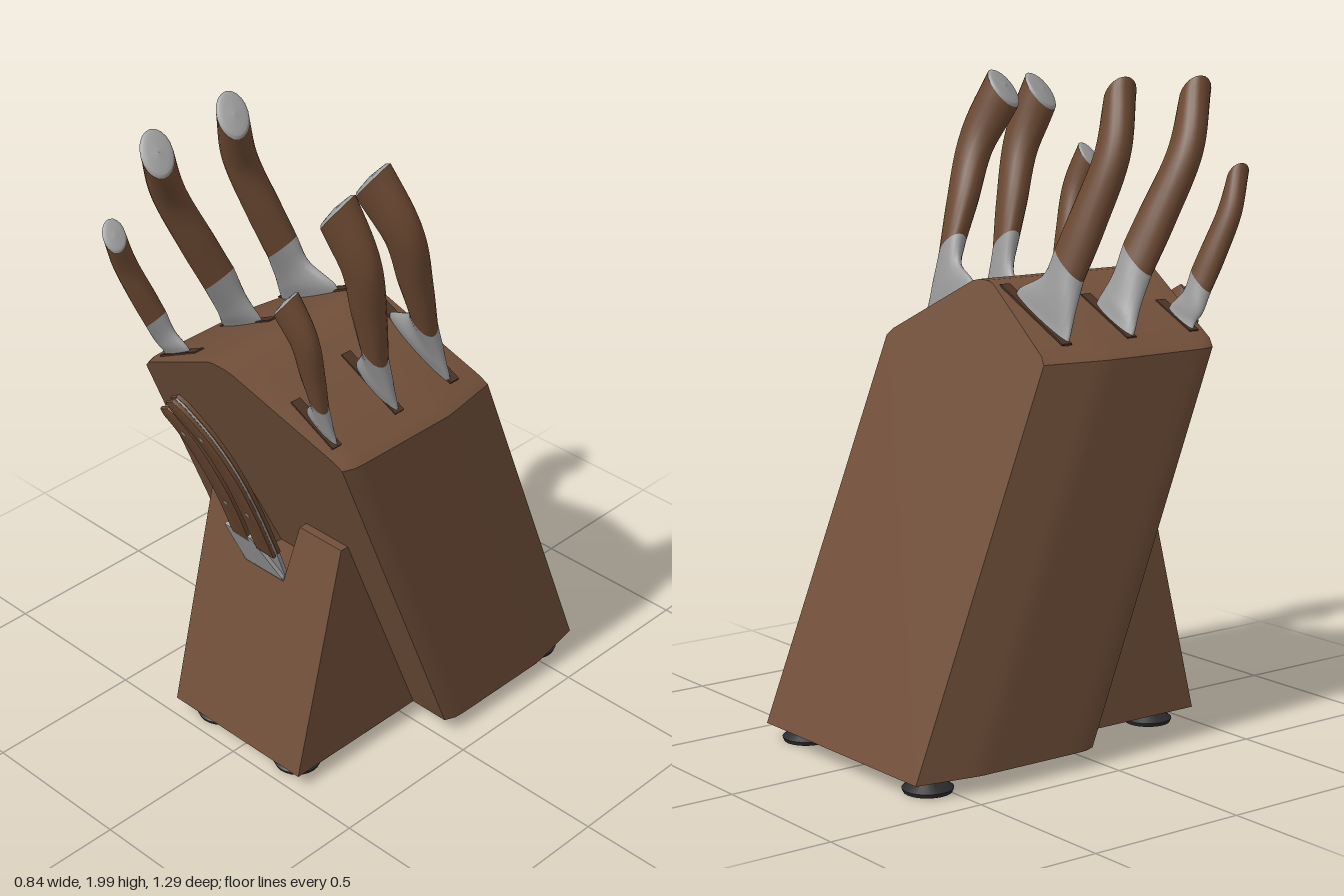
import * as THREE from 'three';
import { toCreasedNormals } from 'three/addons/utils/BufferGeometryUtils.js';

const material = (name, color) => {
  const m = new THREE.MeshStandardMaterial({ color });
  m.name = name;
  return m;
};
const lerp = THREE.MathUtils.lerp;
const polygon = (pts) => new THREE.Shape(pts.map(([x, y]) => new THREE.Vector2(x, y)));

function add(parent, name, geometry, mat) {
  const mesh = new THREE.Mesh(geometry, mat);
  mesh.name = name;
  parent.add(mesh);
  return mesh;
}

// Moves every vertex by a rule, then rebuilds the normals
function reshape(geometry, rule, crease) {
  const p = geometry.attributes.position, v = new THREE.Vector3();
  for (let i = 0; i < p.count; i++) {
    rule(v.fromBufferAttribute(p, i));
    p.setXYZ(i, v.x, v.y, v.z);
  }
  geometry.computeVertexNormals();
  return toCreasedNormals(geometry, crease);
}

// Smooth skin over tilted ellipses; each key is [x, y, z, radiusX, radiusZ, tilt]
function loft(keys, side, steps) {
  const centres = new THREE.CatmullRomCurve3(keys.map((k) => new THREE.Vector3(k[0], k[1], k[2])));
  const sizes = new THREE.CatmullRomCurve3(keys.map((k) => new THREE.Vector3(k[3], k[4], k[5])));
  const seg = 20, pos = [], index = [];
  for (let i = 0; i <= steps; i++) {
    const c = centres.getPoint(i / steps), r = sizes.getPoint(i / steps);
    for (let j = 0; j < seg; j++) {
      const a = (j / seg) * Math.PI * 2;
      const dx = r.x * Math.cos(a), dz = r.y * Math.sin(a);
      pos.push(side * c.x + dx, c.y + side * r.z * dx - 0.35 * dz, c.z + dz);
      if (i === steps) continue;
      const p = i * seg + j, q = i * seg + ((j + 1) % seg);
      index.push(p, p + seg, q, q, p + seg, q + seg);
    }
  }
  const g = new THREE.BufferGeometry();
  g.setAttribute('position', new THREE.Float32BufferAttribute(pos, 3));
  g.setIndex(index);
  g.computeVertexNormals();
  return g;
}

// Curved strip of even width with a small bevel
function strip(points, width, depth, bevel) {
  const curve = new THREE.SplineCurve(points.map(([x, y]) => new THREE.Vector2(x, y)));
  const left = [], right = [], n = 14;
  for (let i = 0; i <= n; i++) {
    const p = curve.getPoint(i / n), t = curve.getTangent(i / n);
    const w = (width / 2) * (i === n ? 0.7 : 1) - bevel;
    left.push([p.x - t.y * w, p.y + t.x * w]);
    right.unshift([p.x + t.y * w, p.y - t.x * w]);
  }
  return new THREE.ExtrudeGeometry(polygon([...left, ...right]), {
    depth, bevelEnabled: bevel > 0, bevelThickness: bevel, bevelSize: bevel, bevelSegments: 2,
  });
}

const frontZ = (y) => -0.02 + 0.395 * (y - 0.05);
const roofY = (x) => 1.39 - 0.5 * (x - 0.04);

export function createModel() {
  const model = new THREE.Group();
  model.name = 'knifeBlock';
  const wood = material('wood', 0x72503a);
  const handleWood = material('handleWood', 0x6c4932);
  const slotWood = material('slotWood', 0x4a3325);
  const metal = material('metal', 0x9c9c9c);
  const rubber = material('rubber', 0x2b2b2d);

  // Leaning block with a gabled top, narrower towards the back
  const gable = polygon([[-0.42, 0.05], [0.42, 0.05], [0.42, 1.19], [0.395, 1.213], [0.05, 1.383],
    [0.02, 1.39], [-0.02, 1.39], [-0.05, 1.383], [-0.395, 1.213], [-0.42, 1.19]]);
  const block = new THREE.ExtrudeGeometry(gable, { depth: 0.62, steps: 18, bevelEnabled: false });
  add(model, 'block', reshape(block, (v) => {
    const back = Math.max(0, 0.2 - v.z) / 0.2, front = Math.max(0, v.z - 0.58) / 0.04;
    if (Math.abs(v.x) > 0.3) v.x *= 1 - 0.083 * back - 0.04 * front;
    v.z += frontZ(v.y) - 0.62;
  }, 0.5), wood);

  // Wedge in front, notched for the scissors
  const wedge = new THREE.ExtrudeGeometry(polygon([[-0.27, 0.05], [0.27, 0.05], [0.27, 0.79], [0.1, 0.79],
    [0.075, 0.605], [-0.085, 0.605], [-0.12, 0.79], [-0.27, 0.79]]), { depth: 1, bevelEnabled: false });
  add(model, 'wedge', reshape(wedge, (v) => {
    v.z = lerp(frontZ(v.y) - 0.005, 0.485 - 0.25 * (v.y - 0.05), v.z);
  }, 0.3), wood);

  // Feet
  const footProfile = [[0, 0], [0.07, 0], [0.075, 0.012], [0.035, 0.04], [0.035, 0.06], [0, 0.06]];
  const footGeometry = toCreasedNormals(
    new THREE.LatheGeometry(footProfile.map(([x, y]) => new THREE.Vector2(x, y)), 24), 0.4);
  for (const side of [-1, 1]) {
    for (const [x, z] of [[0.17, 0.39], [0.31, -0.545]]) {
      add(model, 'foot', footGeometry, rubber).position.set(side * x, 0, z);
    }
  }

  // Knives: side, slot inner x, slot z, neck x, bulge x, butt x, y, z, thickness
  const knives = [
    [1, 0.10, -0.09, 0.285, 0.31, 0.25, 1.93, 0.155, 1],
    [1, 0.18, 0.14, 0.295, 0.33, 0.29, 1.915, 0.33, 1],
    [1, 0.23, 0.39, 0.31, 0.32, 0.285, 1.71, 0.52, 0.7],
    [-1, 0.10, -0.09, 0.285, 0.345, 0.31, 1.93, 0.145, 1],
    [-1, 0.18, 0.15, 0.28, 0.33, 0.29, 1.925, 0.45, 1],
    [-1, 0.24, 0.39, 0.335, 0.37, 0.36, 1.685, 0.56, 0.7],
  ];
  for (const [side, inner, z0, neckX, bulgeX, bx, by, bz, k] of knives) {
    const knife = new THREE.Group();
    knife.name = 'knife';
    model.add(knife);
    const key = (x, y, rx, rz, tilt) => [x, y, lerp(z0, bz, (y - 1.24) / (by - 1.24)), rx, rz, tilt];
    const at = (f) => lerp(1.24, by, f);
    const mid = (inner + 0.35) / 2, half = (0.35 - inner) / 2, roof = roofY(mid);
    const neck = key(neckX, at(0.31), 0.05 * k, 0.036 * k, -0.9);
    const butt = key(bx, by, 0.044 * k, 0.05 * k, 1.2);

    add(knife, 'bolster', loft([
      key(mid, roof - 0.03, half, 0.014 * k, -0.5),
      key(mid + 0.005, roof + 0.015, half * 0.95, 0.018 * k, -0.5),
      key(lerp(mid, neckX, 0.8), lerp(roof, neck[1], 0.45), lerp(half, 0.05 * k, 0.75), 0.026 * k, -0.7),
      neck,
    ], side, 14), metal);
    add(knife, 'handle', loft([
      neck,
      key(lerp(neckX, bulgeX, 0.5), at(0.5), 0.058 * k, 0.043 * k, -0.35),
      key(bulgeX, at(0.76), 0.062 * k, 0.046 * k, 0.2),
      butt,
    ], side, 20), handleWood);
    // Domed end cap facing inwards and up
    const dome = (s, d) => [bx - 0.77 * d, by + 0.64 * d, bz + 0.2 * d, butt[3] * s, butt[4] * s, 1.2];
    add(knife, 'endCap', loft([butt, dome(0.85, 0.008 * k), dome(0.01, 0.014 * k)], side, 6), metal);

    // Slot mark lying on the sloping top
    const slotInner = inner - 0.04, slotMid = (slotInner + 0.355) / 2;
    const slot = add(knife, 'slot', new THREE.BoxGeometry((0.355 - slotInner) * 1.1, 0.006, 0.035), slotWood);
    slot.position.set(side * slotMid, roofY(slotMid) + 0.001, z0 + 0.01);
    slot.rotation.z = -side * Math.atan(0.493);
  }

  // Scissors leaning parallel to the block
  const scissors = new THREE.Group();
  scissors.name = 'scissors';
  scissors.position.set(0, 0.6, 0.33);
  scissors.rotation.x = 0.39;
  model.add(scissors);
  const plate = (pts) => new THREE.ExtrudeGeometry(polygon(pts), { depth: 0.012, bevelEnabled: false });
  add(scissors, 'leftBlade', plate([[-0.07, -0.12], [0.06, -0.12], [0.09, 0.17], [-0.02, 0.17]]), metal)
    .position.z = -0.012;
  add(scissors, 'rightBlade', plate([[-0.07, -0.12], [0.06, -0.12], [0.07, 0.02], [0, 0.17], [-0.11, 0.17]]), metal);

  const grips = [
    [[-0.05, 0.15], [-0.038, 0.32], [-0.05, 0.48], [-0.085, 0.61], [-0.13, 0.69]],
    [[0.06, 0.15], [0.068, 0.34], [0.058, 0.51], [0.015, 0.65], [-0.065, 0.765]],
  ];
  grips.forEach((path, i) => {
    const grip = new THREE.Group();
    grip.name = 'scissorGrip';
    grip.position.z = i ? 0.004 : -0.004;
    scissors.add(grip);
    add(grip, 'gripCore', strip(path, 0.066, 0.006, 0), metal).position.z = -0.003;
    for (const z of [-0.013, 0.007]) {
      add(grip, 'gripScale', toCreasedNormals(strip(path, 0.072, 0.006, 0.004), 0.6), handleWood).position.z = z;
    }
    // Rivets
    for (const p of [path[1], path[3]]) {
      const rivet = add(grip, 'rivet', new THREE.CylinderGeometry(0.008, 0.008, 0.036, 12), metal);
      rivet.position.set(p[0], p[1], 0);
      rivet.rotation.x = Math.PI / 2;
    }
  });

  return model;
}
